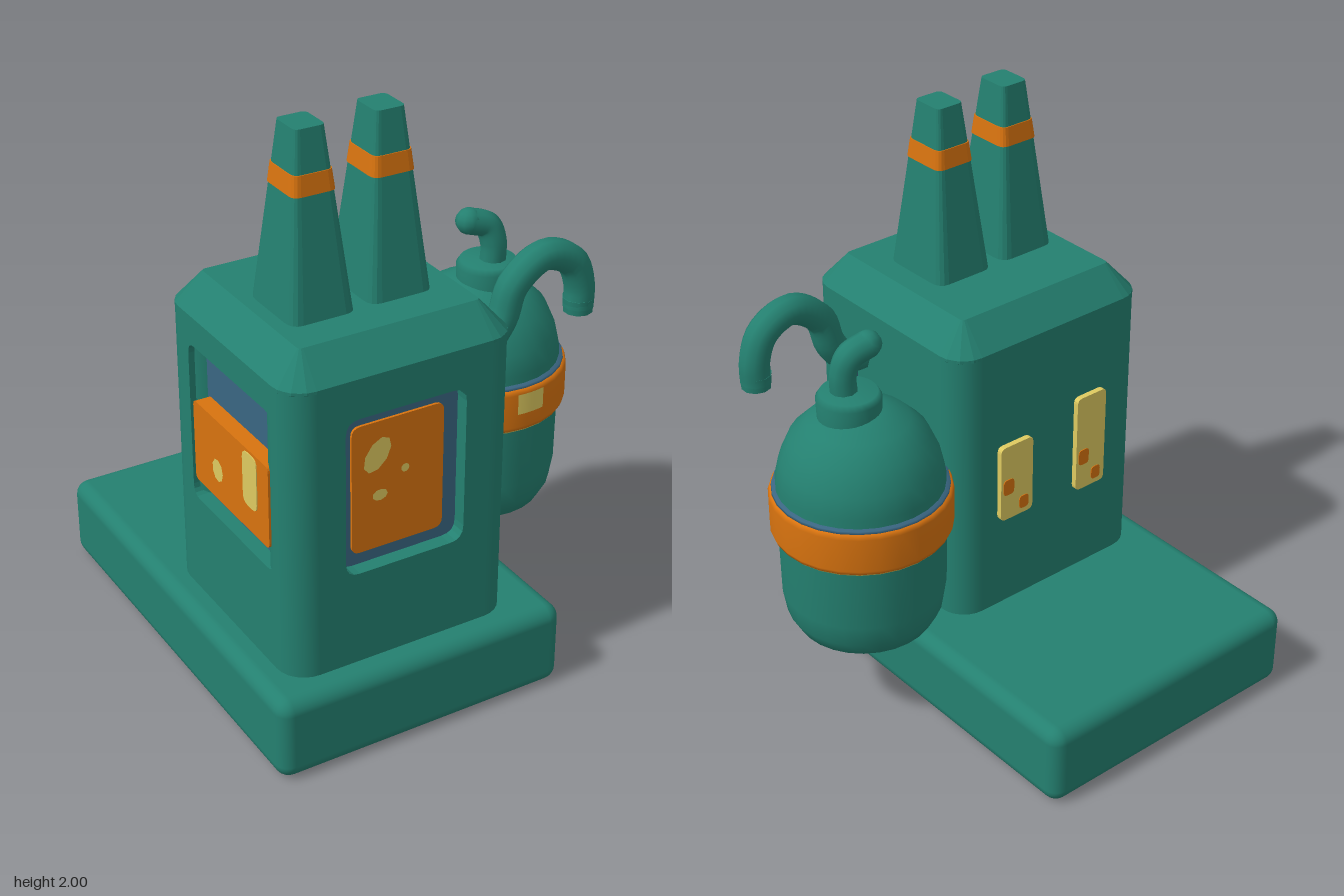
import * as THREE from 'three';
import { RoundedBoxGeometry } from 'three/addons/geometries/RoundedBoxGeometry.js';

const paint = (name, color) => {
  const m = new THREE.MeshStandardMaterial({ color });
  m.name = name;
  return m;
};

// rounded rectangle outline, usable as a shape or as a hole
function roundRect(path, x0, y0, x1, y1, r) {
  path.moveTo(x0 + r, y0);
  path.lineTo(x1 - r, y0);
  path.quadraticCurveTo(x1, y0, x1, y0 + r);
  path.lineTo(x1, y1 - r);
  path.quadraticCurveTo(x1, y1, x1 - r, y1);
  path.lineTo(x0 + r, y1);
  path.quadraticCurveTo(x0, y1, x0, y1 - r);
  path.lineTo(x0, y0 + r);
  path.quadraticCurveTo(x0, y0, x0 + r, y0);
  return path;
}

export function createModel() {
  const green = paint('green', 0x248070);
  const orange = paint('orange', 0xd8730f);
  const yellow = paint('yellow', 0xdeca60);
  const blue = paint('slate blue', 0x3a6682);
  const root = new THREE.Group();
  root.name = 'factory';

  const add = (name, geo, mat, x = 0, y = 0, z = 0, parent = root) => {
    const m = new THREE.Mesh(geo, mat);
    m.name = name;
    m.position.set(x, y, z);
    parent.add(m);
    return m;
  };
  const lathe = (name, pts, mat, x, z) =>
    add(name, new THREE.LatheGeometry(pts.map(p => new THREE.Vector2(...p)), 28), mat, x, 0, z);
  const plate = (x0, y0, x1, y1, r, depth) => new THREE.ExtrudeGeometry(
    roundRect(new THREE.Shape(), x0, y0, x1, y1, r), { depth, bevelEnabled: false, curveSegments: 4 });
  const blotch = (parent, x, y, z, w, h, turn = 0) => {
    const m = add('lightSpot', new THREE.CircleGeometry(1, 9), yellow, x, y, z, parent);
    m.scale.set(w / 2, h / 2, 1);
    m.rotation.z = turn;
  };

  // base slab
  add('base', new RoundedBoxGeometry(1.06, 0.295, 1.56, 3, 0.05), green, -0.21, 0.1475, 0);

  // body: blue core seen through the recesses, walls, rounded corners, chamfered cap
  const X0 = -0.65, X1 = 0.165, Z0 = -0.11, Z1 = 0.69, R = 0.1, T = 0.05;
  add('recessFloor', new THREE.BoxGeometry(X1 - X0 - 2 * T, 1.04, Z1 - Z0 - 2 * T), blue,
    (X0 + X1) / 2, 0.81, (Z0 + Z1) / 2);

  // each wall is drawn in its own plane; local z points out of the body
  const wall = (name, u0, u1, turn, x, z, hole) => {
    const g = new THREE.Group();
    g.name = name;
    g.position.set(x, 0, z);
    g.rotation.y = turn;
    root.add(g);
    const s = new THREE.Shape();
    s.moveTo(u0, 0.28).lineTo(u1, 0.28).lineTo(u1, 1.31).lineTo(u0, 1.31);
    if (hole) s.holes.push(roundRect(new THREE.Path(), ...hole));
    add(name + 'Panel', new THREE.ExtrudeGeometry(s, { depth: T, bevelEnabled: false, curveSegments: 4 }),
      green, 0, 0, 0, g);
    return g;
  };
  const front = wall('frontWall', X0 + R, X1 - R, 0, 0, Z1 - T, [-0.455, 0.625, -0.025, 1.175, 0.05]);
  const back = wall('backWall', -X1 + R, -X0 - R, Math.PI, 0, Z0 + T);
  wall('leftWall', -Z1 + R, -Z0 - R, Math.PI / 2, X1 - T, 0, [-0.555, 0.62, -0.505, 0.98, 0.015]);
  const right = wall('rightWall', Z0 + R, Z1 - R, -Math.PI / 2, X0 + T, 0, [0.05, 0.65, 0.585, 1.21, 0.04]);

  for (const x of [X0 + R, X1 - R])
    for (const z of [Z0 + R, Z1 - R])
      add('bodyCorner', new THREE.CylinderGeometry(R, R, 1.03, 24), green, x, 0.795, z);

  const inset = 0.09;
  const capGeo = new THREE.ExtrudeGeometry(
    roundRect(new THREE.Shape(), X0 + inset, -Z1 + inset, X1 - inset, -Z0 - inset, 0.015),
    { depth: 0.01, bevelThickness: 0.1, bevelSize: inset, bevelSegments: 1, curveSegments: 4 });
  capGeo.rotateX(-Math.PI / 2);
  add('bodyCap', capGeo, green, 0, 1.3, 0);

  // front window
  add('frontWindow', plate(-0.41, 0.67, -0.08, 1.12, 0.03, 0.009), orange, 0, 0, 0, front);
  blotch(front, -0.32, 1.005, 0.011, 0.08, 0.13, -0.6);
  blotch(front, -0.31, 0.86, 0.011, 0.055, 0.04);
  blotch(front, -0.22, 0.93, 0.011, 0.03, 0.03);

  // side window
  add('sideWindow', plate(0.08, 0.73, 0.57, 1.02, 0.02, 0.055), orange, 0, 0, 0, right);
  blotch(right, 0.24, 0.84, 0.057, 0.07, 0.08);
  add('sideWindowLight', plate(0.41, 0.82, 0.5, 1.01, 0.03, 0.003), yellow, 0, 0, 0.055, right);

  // back windows
  for (const [u0, u1, v0, v1] of [[0, 0.14, 0.65, 0.94], [0.34, 0.47, 0.63, 1.0]]) {
    add('backWindow', plate(u0, v0, u1, v1, 0.02, 0.02), yellow, 0, 0, T, back);
    add('backWindowGlow', plate(u0 + 0.01, v0 + 0.1, u0 + 0.055, v0 + 0.16, 0.015, 0.004),
      orange, 0, 0, T + 0.019, back);
    add('backWindowGlow', plate(u1 - 0.06, v0 + 0.02, u1 - 0.02, v0 + 0.07, 0.015, 0.004),
      orange, 0, 0, T + 0.019, back);
  }

  // tapered chimneys with an orange stripe
  const chimneyPart = (name, y0, y1, mat, x, z, grow = 0) => {
    const geo = plate(-1, -1, 1, 1, 0.35, 1).rotateX(-Math.PI / 2);
    const p = geo.attributes.position;
    for (let i = 0; i < p.count; i++) {
      const y = THREE.MathUtils.lerp(y0, y1, p.getY(i));
      const t = (y - 1.41) / 0.59;
      p.setXYZ(i, p.getX(i) * (0.114 - 0.062 * t + grow), y, p.getZ(i) * (0.137 - 0.077 * t + grow));
    }
    geo.computeVertexNormals();
    add(name, geo, mat, x, 0, z);
  };
  for (const [x, z] of [[-0.4, 0.342], [-0.122, 0.335]]) {
    chimneyPart('chimney', 1.38, 1.8, green, x, z);
    chimneyPart('chimneyStripe', 1.8, 1.865, orange, x, z, 0.003);
    chimneyPart('chimneyTip', 1.865, 2.0, green, x, z);
  }

  // tank with band and cap
  const TX = 0.43, TZ = 0.075;
  lathe('tank', [[0, 0.34], [0.19, 0.34], [0.235, 0.365], [0.265, 0.42], [0.278, 0.5], [0.281, 0.75],
    [0.281, 0.93], [0.265, 1.0], [0.23, 1.08], [0.17, 1.14], [0.09, 1.18], [0, 1.19]], green, TX, TZ);
  lathe('bandTrim', [[0.27, 0.885], [0.296, 0.885], [0.294, 0.898], [0.27, 0.902]], blue, TX, TZ);
  lathe('bandUnderside', [[0.27, 0.724], [0.294, 0.728], [0.297, 0.74]], yellow, TX, TZ);
  lathe('tankBand', [[0.28, 0.732], [0.3, 0.735], [0.306, 0.75], [0.306, 0.872], [0.3, 0.888], [0.28, 0.89]],
    orange, TX, TZ);
  add('bandLight', new THREE.CylinderGeometry(0.309, 0.309, 0.075, 6, 1, true, -0.12, 0.34),
    yellow, TX, 0.838, TZ);
  lathe('tankCap', [[0.105, 1.14], [0.108, 1.225], [0.095, 1.245], [0, 1.25]], green, 0.455, 0.09);

  // pipes
  const tube = (name, pts, r) => add(name, new THREE.TubeGeometry(
    new THREE.CatmullRomCurve3(pts.map(p => new THREE.Vector3(...p))), 32, r, 10), green);
  tube('nozzle', [[0.465, 1.22, 0.1], [0.467, 1.31, 0.1], [0.445, 1.37, 0.09], [0.38, 1.395, 0.08]], 0.046);
  add('nozzleTip', new THREE.SphereGeometry(0.046, 10, 8), green, 0.38, 1.395, 0.08);
  tube('hose', [[0.13, 1.12, 0.42], [0.22, 1.135, 0.42], [0.285, 1.21, 0.42], [0.325, 1.32, 0.42],
    [0.44, 1.395, 0.42], [0.55, 1.35, 0.42], [0.588, 1.26, 0.42], [0.588, 1.18, 0.42]], 0.053);
  add('hoseEnd', new THREE.CylinderGeometry(0.054, 0.05, 0.05, 10), green, 0.588, 1.185, 0.42);
  add('hoseSocket', new THREE.BoxGeometry(0.008, 0.08, 0.06), blue, 0.166, 1.065, 0.465);

  return root;
}
